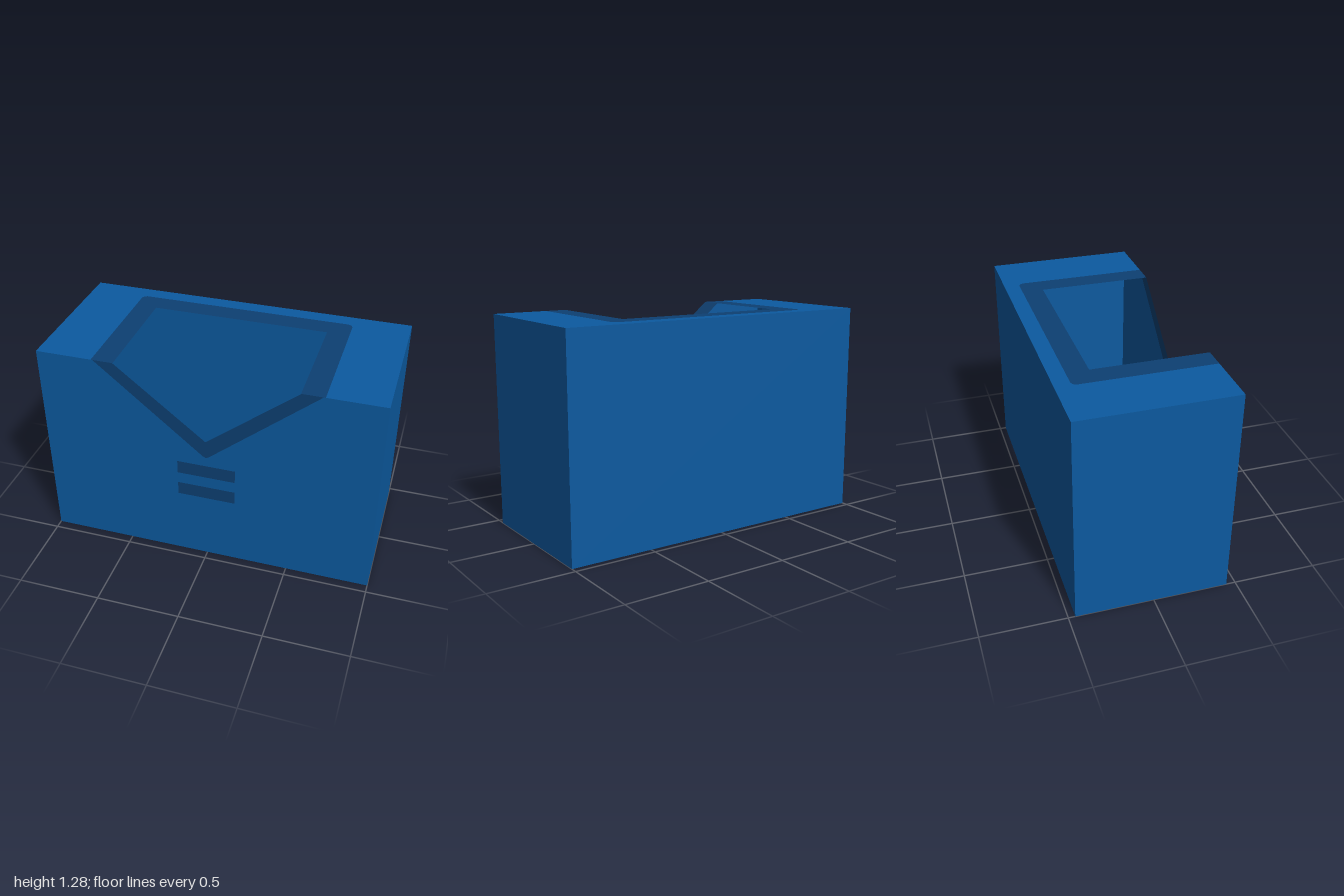
import * as THREE from 'three';

const H = 1.28, FRONT = 0.445, BACK = -0.46, DEPTH = FRONT - BACK;
const MID = (FRONT + BACK) / 2;

export function createModel() {
  const model = new THREE.Group();
  const blue = new THREE.MeshStandardMaterial({ color: 0x0c5aa0, side: THREE.DoubleSide });
  blue.name = 'blue';
  const navy = new THREE.MeshStandardMaterial({ color: 0x0d4073, side: THREE.DoubleSide });
  navy.name = 'navy';

  const add = (name, geometry, material, position, rotation = [0, 0, 0]) => {
    const mesh = new THREE.Mesh(geometry, material);
    mesh.name = name;
    mesh.position.set(...position);
    mesh.rotation.set(...rotation);
    model.add(mesh);
  };
  const flat = (points) =>
    new THREE.ShapeGeometry(new THREE.Shape(points.map(([x, y]) => new THREE.Vector2(x, y))));

  // Outlines of the trim: a slightly blunted V in front, a U with clipped corners on top
  const vOuter = [[-0.655, H], [-0.02, 0.748], [0, 0.737], [0.02, 0.748], [0.655, H]];
  const vInner = [[0.535, H], [0, 0.85], [-0.535, H]];
  const uOuter = [[-0.665, -FRONT], [-0.665, 0.34], [-0.656, 0.358], [-0.638, 0.367],
    [0.638, 0.367], [0.656, 0.358], [0.665, 0.34], [0.665, -FRONT]];
  const uInner = [[0.533, -FRONT], [0.533, 0.238], [-0.533, 0.238], [-0.533, -FRONT]];

  // Front wall with its neckline
  add('frontWall', flat([[-1, 0], [-1, H], ...vOuter, [1, H], [1, 0]]), blue, [0, 0, FRONT]);
  add('frontNeckTrim', flat([...vOuter, ...vInner]), navy, [0, 0, FRONT]);

  // Top panel, open towards the front
  const lay = [-Math.PI / 2, 0, 0];
  add('topPanel', flat([[-1, -FRONT], [-1, -BACK], [1, -BACK], [1, -FRONT], ...[...uOuter].reverse()]),
    blue, [0, H, 0], lay);
  add('topNeckTrim', flat([...uOuter, ...uInner]), navy, [0, H, 0], lay);

  // Back and side walls; the bottom stays open
  add('backWall', new THREE.PlaneGeometry(2, H), blue, [0, H / 2, BACK], [0, Math.PI, 0]);
  for (const [name, s] of [['leftWall', 1], ['rightWall', -1]]) {
    add(name, new THREE.PlaneGeometry(DEPTH, H), blue, [s, H / 2, MID], [0, s * Math.PI / 2, 0]);
  }

  // Two chest bars, just proud of the front wall
  for (const [name, y] of [['upperBar', 0.638], ['lowerBar', 0.481]]) {
    add(name, new THREE.PlaneGeometry(0.35, 0.084), navy, [0, y, FRONT + 0.003]);
  }
  return model;
}
